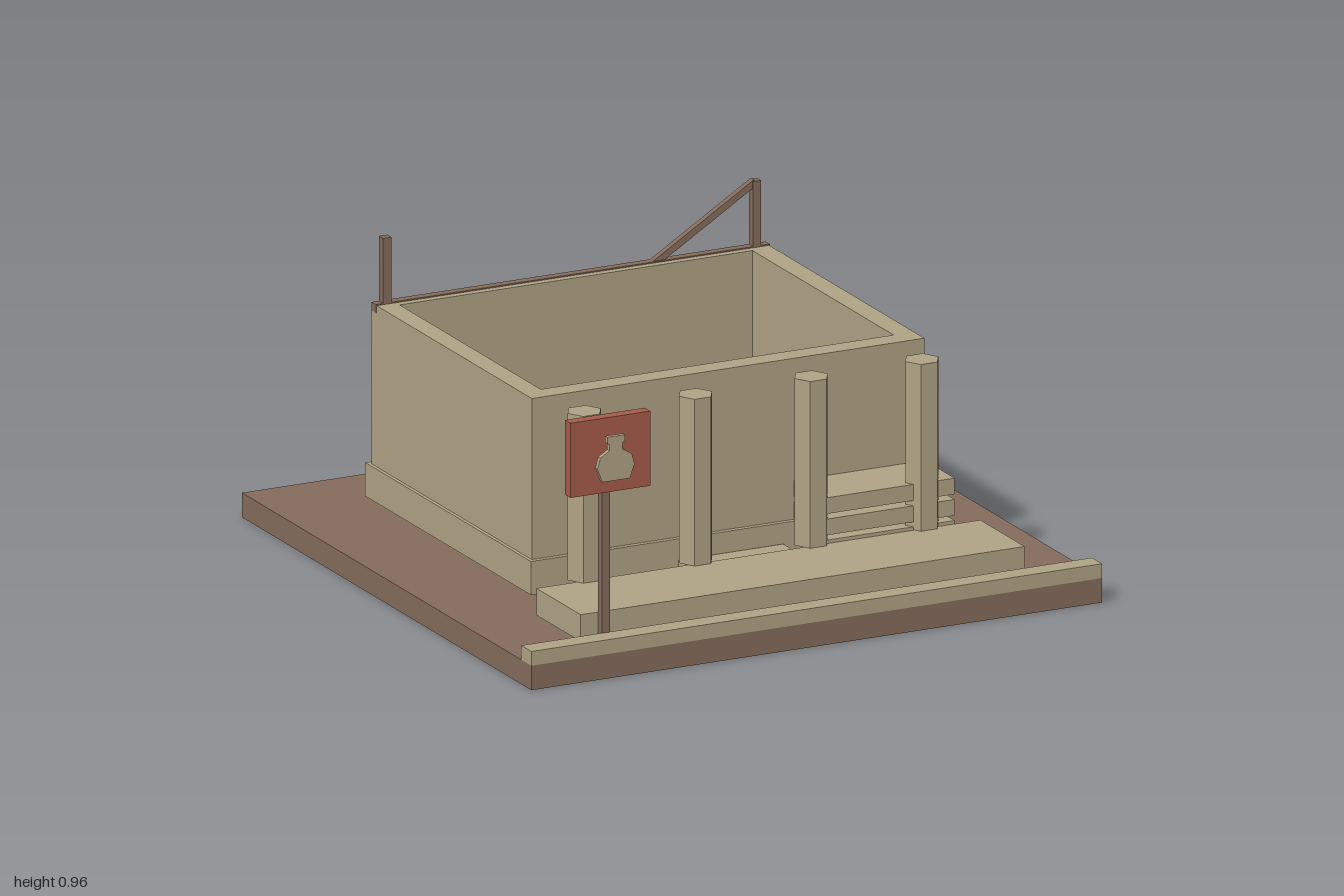
import * as THREE from 'three';

export function createModel() {
  const group = new THREE.Group();
  const mat = (name, color) => {
    const m = new THREE.MeshStandardMaterial({ color });
    m.name = name;
    return m;
  };
  const clay = mat('clay', 0xb0a385);
  const wood = mat('wood', 0x846c5c);
  const red = mat('paintedRed', 0xa65c4a);

  const add = (name, geometry, material) => {
    const mesh = new THREE.Mesh(geometry, material);
    mesh.name = name;
    group.add(mesh);
    return mesh;
  };
  // Box given by its limits on each axis
  const box = (name, material, [x0, x1], [y0, y1], [z0, z1]) => {
    const mesh = add(name, new THREE.BoxGeometry(x1 - x0, y1 - y0, z1 - z0), material);
    mesh.position.set((x0 + x1) / 2, (y0 + y1) / 2, (z0 + z1) / 2);
    return mesh;
  };

  // Ground slab, kerb and raised floors
  box('ground', wood, [-1, 1], [0, 0.08], [-1, 1]);
  box('kerb', clay, [-1, 1], [0.08, 0.127], [0.93, 1]);
  box('plinth', clay, [-0.7, 0.7], [0.1, 0.21], [-0.74, 0.405]);
  box('porchFloor', clay, [-0.778, 0.778], [0.1, 0.188], [0.597, 0.903]);
  box('doorStep', clay, [-0.185, 0.182], [0.09, 0.142], [0.41, 0.59]);

  // Open-topped walls: rectangle with a rectangular hole, extruded upwards
  const rect = (target, x0, x1, z0, z1) => {
    target.moveTo(x0, -z1).lineTo(x1, -z1).lineTo(x1, -z0).lineTo(x0, -z0).closePath();
    return target;
  };
  const plan = rect(new THREE.Shape(), -0.688, 0.688, -0.72, 0.388);
  plan.holes.push(rect(new THREE.Path(), -0.62, 0.617, -0.66, 0.315));
  const walls = add('walls', new THREE.ExtrudeGeometry(plan, { depth: 0.53, bevelEnabled: false }), clay);
  walls.rotation.x = -Math.PI / 2;
  walls.position.y = 0.208;

  // Six-sided porch columns
  for (const x of [-0.595, -0.205, 0.2, 0.588]) {
    const geometry = new THREE.CylinderGeometry(0.058, 0.058, 0.547, 6).toNonIndexed();
    geometry.rotateY(Math.PI / 6);
    geometry.computeVertexNormals();
    add('porchColumn', geometry, clay).position.set(x, 0.4615, 0.567);
  }

  // Stack of shelves beside the entrance
  for (const y of [0.145, 0.214, 0.284]) {
    box('shelf', clay, [0.23, 0.69], [y, y + 0.053], [0.292, 0.593]);
  }

  // Awning frame along the back wall
  box('backBeam', wood, [-0.69, 0.69], [0.715, 0.742], [-0.715, -0.685]);
  box('backPost', wood, [-0.665, -0.635], [0.21, 0.955], [-0.715, -0.685]);
  box('backPost', wood, [0.632, 0.66], [0.21, 0.955], [-0.715, -0.685]);
  const a = new THREE.Vector2(0.275, 0.725), b = new THREE.Vector2(0.642, 0.95);
  const brace = add('brace', new THREE.BoxGeometry(a.distanceTo(b), 0.022, 0.022), wood);
  brace.position.set((a.x + b.x) / 2, (a.y + b.y) / 2, -0.7);
  brace.rotation.z = Math.atan2(b.y - a.y, b.x - a.x);

  // Hanging sign with a pot cut-out in front of it
  box('signPost', wood, [-0.718, -0.69], [0.08, 0.72], [0.903, 0.933]);
  box('signBoard', red, [-0.84, -0.561], [0.595, 0.84], [0.918, 0.956]);
  const half = [[0.048, 0.645], [0.065, 0.69], [0.055, 0.725], [0.023, 0.745], [0.023, 0.765], [0.031, 0.77], [0.031, 0.79]];
  const outline = [...half, ...half.map(([x, y]) => [-x, y]).reverse()];
  const pot = new THREE.Shape(outline.map(([x, y]) => new THREE.Vector2(x, y)));
  const emblem = add('signPot', new THREE.ExtrudeGeometry(pot, { depth: 0.016, bevelEnabled: false }), clay);
  emblem.position.set(-0.702, 0, 0.982);

  return group;
}
